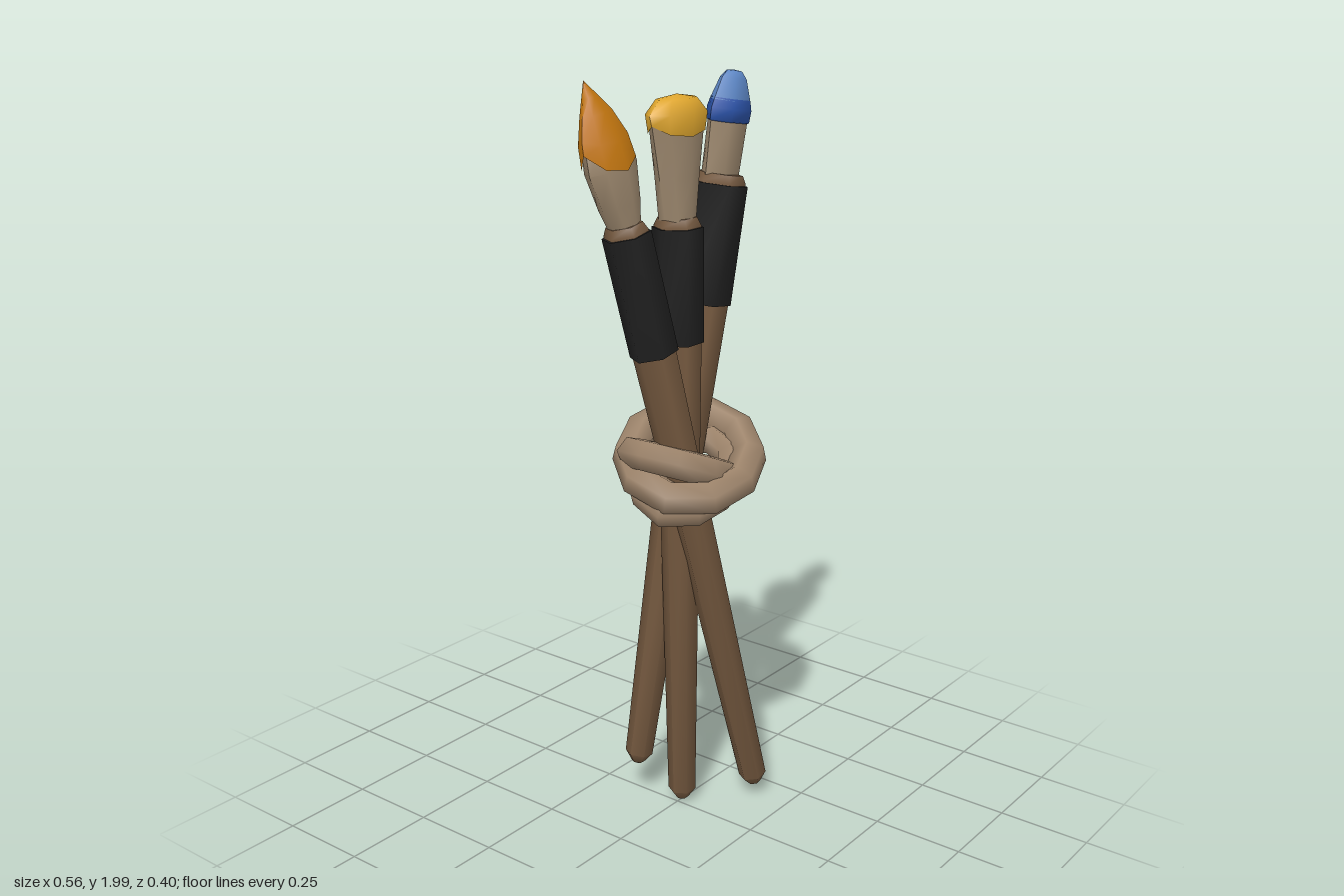
import * as THREE from 'three';
import { mergeVertices, toCreasedNormals } from 'three/addons/utils/BufferGeometryUtils.js';

const mat = (name, color) => {
  const m = new THREE.MeshStandardMaterial({ color });
  m.name = name;
  return m;
};

// Loft through rings [y, radiusX, radiusZ, offsetX, dip]; dip lowers the front and back of a ring
function loft(rings, sides = 6) {
  const n = rings.length - 1;
  let g = new THREE.CylinderGeometry(1, 1, n, sides, n, true).rotateY(Math.PI / 2);
  const p = g.attributes.position;
  for (let i = 0; i < p.count; i++) {
    const [y, rx, rz = rx, ox = 0, dip = 0] = rings[Math.round(p.getY(i) + n / 2)];
    p.setXYZ(i, p.getX(i) * rx + ox, y - dip * Math.abs(p.getZ(i)), p.getZ(i) * rz);
  }
  g.deleteAttribute('uv');
  g.deleteAttribute('normal');
  g = mergeVertices(g, 1e-5);
  return toCreasedNormals(g, 1.1);
}

// One brush: axis through two points, ring heights given as world heights
function makeBrush(name, from, to, ferrule, radius, wood, black, tips) {
  const brush = new THREE.Group();
  brush.name = name;
  const a = new THREE.Vector3(...from);
  const axis = new THREE.Vector3(...to).sub(a);
  const stretch = axis.length() / axis.y;
  brush.position.copy(a);
  brush.quaternion.setFromUnitVectors(new THREE.Vector3(0, 1, 0), axis.normalize());

  const add = (part, material, rings, sides) => {
    const local = rings.map(([y, ...rest]) => [(y - a.y) * stretch, ...rest]);
    const mesh = new THREE.Mesh(loft(local, sides), material);
    mesh.name = part;
    brush.add(mesh);
  };
  const [low, high] = ferrule;
  add('handle', wood, [
    [a.y, 0], [a.y + 0.008, 0.018], [a.y + 0.035, 0.038], [low + 0.02, radius - 0.006],
  ]);
  add('ferrule', black, [
    [low, radius - 0.012], [low, radius], [high, radius], [high, radius - 0.015],
  ]);
  add('collar', wood, [
    [high - 0.01, radius - 0.006], [high + 0.005, radius - 0.006],
    [high + 0.025, radius - 0.016], [high + 0.025, 0],
  ]);
  for (const [part, material, rings, sides] of tips) add(part, material, rings, sides);
  return brush;
}

// Tilted rope turn with closed ends
class RopeTurn extends THREE.Curve {
  constructor(o) { super(); this.o = o; }
  getPoint(t, target = new THREE.Vector3()) {
    const { c, rx, rz, tx, tz, start, sweep } = this.o;
    const k = start + sweep * t, x = Math.cos(k), z = Math.sin(k);
    return target.set(c[0] + rx * x, c[1] + tx * x + tz * z, c[2] + rz * z);
  }
}

function makeRopeTurn(o, material) {
  const group = new THREE.Group();
  group.name = o.name;
  const curve = new RopeTurn(o);
  const closed = o.sweep >= Math.PI * 2;
  group.add(new THREE.Mesh(new THREE.TubeGeometry(curve, 10, o.r, 6, closed), material));
  if (!closed) {
    for (const t of [0, 1]) {
      const cap = new THREE.Mesh(new THREE.CircleGeometry(o.r, 6), material);
      cap.position.copy(curve.getPoint(t));
      const out = curve.getTangent(t).multiplyScalar(t ? 1 : -1);
      cap.quaternion.setFromUnitVectors(new THREE.Vector3(0, 0, 1), out);
      cap.name = 'ropeEnd';
      group.add(cap);
    }
  }
  group.children[0].name = 'ropeTurn';
  return group;
}

export function createModel() {
  const model = new THREE.Group();
  model.name = 'brushBundle';
  const wood = mat('brown wood', 0x765a40);
  const black = mat('black ferrule', 0x202020);
  const bristle = mat('tan bristle', 0x9f8a70);
  const rope = mat('tan rope', 0x9c836a);
  const orange = mat('orange paint', 0xc97a10);
  const yellow = mat('yellow paint', 0xdfa62e);
  const blue = mat('light blue paint', 0x5d87c6);
  const darkBlue = mat('dark blue paint', 0x2d55ac);

  // Pointed round brush
  model.add(makeBrush('pointedBrush', [0.172, 0.035, 0.143], [-0.165, 1.64, -0.035], [1.32, 1.625], 0.063, wood, black, [
    ['bristles', bristle, [
      [1.64, 0.04], [1.7, 0.062, 0.045], [1.79, 0.08, 0.052],
      [1.86, 0.072, 0.044], [1.91, 0.04, 0.02], [1.93, 0],
    ], 8],
    ['paintTip', orange, [
      [1.84, 0.08, 0.056, -0.003, 0.06], [1.87, 0.074, 0.05, -0.004, 0.02],
      [1.92, 0.05, 0.03, -0.008], [1.96, 0.024, 0.016, -0.016], [2.0, 0, 0, -0.024],
    ], 8],
  ]));

  // Fan brush
  model.add(makeBrush('fanBrush', [0.02, 0.005, 0], [0, 1.95, -0.005], [1.33, 1.625], 0.066, wood, black, [
    ['bristles', bristle, [
      [1.64, 0.05, 0.045], [1.75, 0.07, 0.045], [1.89, 0.099, 0.047], [1.91, 0],
    ], 8],
    ['paintTip', yellow, [
      [1.88, 0.098, 0.05, 0, 0.03], [1.905, 0.106, 0.055],
      [1.94, 0.07, 0.036], [1.95, 0],
    ], 8],
  ]));

  // Flat brush
  model.add(makeBrush('flatBrush', [-0.04, 0.105, -0.112], [0.21, 2.0, 0.018], [1.41, 1.715], 0.075, wood, black, [
    ['bristles', bristle, [[1.73, 0.062, 0.042], [1.88, 0.072, 0.042], [1.89, 0]]],
    ['paintBand', darkBlue, [
      [1.865, 0.066, 0.036], [1.87, 0.075, 0.047], [1.9, 0.076, 0.049], [1.925, 0.067, 0.044],
    ]],
    ['paintTip', blue, [
      [1.92, 0.069, 0.045], [1.975, 0.048, 0.028], [1.993, 0.03, 0.015], [1.995, 0],
    ]],
  ]));

  // Rope wound around the crossing point
  const full = Math.PI * 2;
  const turns = [
    { name: 'outerRope', c: [0.05, 1.015, 0], rx: 0.162, rz: 0.155, tx: 0.055, tz: -0.045, r: 0.048, start: 0.3, sweep: full },
    { name: 'crossedRope', c: [0.03, 0.99, -0.01], rx: 0.138, rz: 0.125, tx: -0.06, tz: 0, r: 0.044, start: 0.2, sweep: 5.9 },
    { name: 'innerRope', c: [0.025, 0.97, 0.015], rx: 0.135, rz: 0.105, tx: 0.055, tz: -0.03, r: 0.042, start: 0.5, sweep: full },
  ];
  for (const turn of turns) model.add(makeRopeTurn(turn, rope));

  return model;
}
